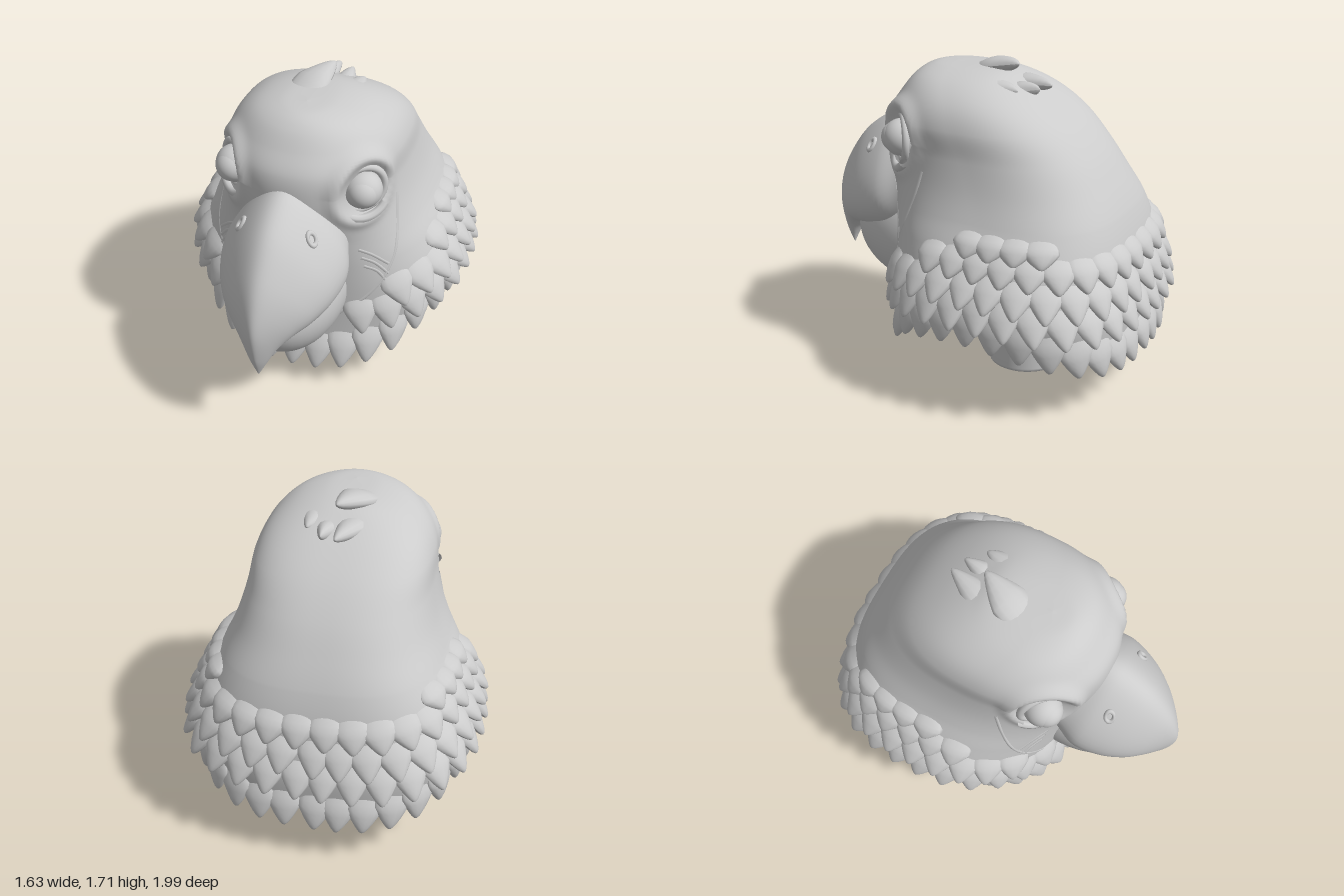
import * as THREE from 'three';
import { ParametricGeometry } from 'three/addons/geometries/ParametricGeometry.js';

const V = (x, y, z) => new THREE.Vector3(x, y, z);
const grey = new THREE.MeshStandardMaterial({ color: 0xcccccc, side: THREE.DoubleSide });
const gauss = (d, s) => Math.exp(-(d * d) / (s * s));

function add(parent, name, geo, pos) {
  const m = new THREE.Mesh(geo, grey);
  m.name = name;
  if (pos) m.position.copy(pos);
  parent.add(m);
  return m;
}

// Head rings, top to rim: height, front z, back z, half width, squareness, z of widest point
const RINGS = [
  [1.67, 0.2001, 0.1999, 0.0001, 2, 0.2],
  [1.66, 0.32, -0.06, 0.15, 2, 0.16],
  [1.615, 0.40, -0.2, 0.29, 2.1, 0.12],
  [1.53, 0.47, -0.36, 0.4, 2.15, 0.05],
  [1.42, 0.54, -0.51, 0.46, 2.15, 0],
  [1.28, 0.555, -0.64, 0.48, 2.15, -0.08],
  [1.13, 0.53, -0.74, 0.52, 2.2, -0.15],
  [1.0, 0.48, -0.81, 0.575, 2.3, -0.2],
  [0.87, 0.45, -0.86, 0.645, 2.3, -0.2],
  [0.73, 0.43, -0.89, 0.705, 2.3, -0.2],
  [0.6, 0.42, -0.91, 0.73, 2.3, -0.22],
  [0.45, 0.42, -0.9, 0.69, 2.3, -0.22],
];
const LAST = RINGS.length - 1;
const curveA = new THREE.CatmullRomCurve3(RINGS.map(r => V(r[0], r[1], r[2])), false, 'catmullrom', 0.5);
const curveB = new THREE.CatmullRomCurve3(RINGS.map(r => V(r[3], r[4], r[5])), false, 'catmullrom', 0.5);
const EYE = V(0.345, 1.31, 0.34);
const LOOK = V(0.66, 0.03, 0.75).normalize();

// Point on the head: angle a from the front towards +x, ring index k
function surf(a, k) {
  const t = THREE.MathUtils.clamp(k / LAST, 0, 1);
  const A = curveA.getPoint(t), B = curveB.getPoint(t);
  const n = B.y + (Math.cos(a) < 0 ? 0.6 : 0);   // squarer at the back
  const pow = c => Math.sign(c) * Math.abs(c) ** (2 / n);
  const c = pow(Math.cos(a));
  const z = B.z + c * (c > 0 ? A.y - B.z : B.z - A.z);
  const p = V(B.x * pow(Math.sin(a)), A.x, z);
  // the rim arches up at the sides
  if (p.y < 1) {
    const s = z + 0.2;
    const rim = s > 0 ? 0.46 - 0.17 * (s / 0.62) ** 2 : 0.46 - 0.11 * (s / 0.7) ** 2;
    p.y = 1 - (1 - p.y) / 0.55 * (1 - rim);
  }
  // eye sockets with a raised brow ring, strongest above
  const side = Math.sign(p.x) || 1;
  const d = Math.hypot(p.x * side - EYE.x, p.y - EYE.y, p.z - EYE.z);
  const brow = p.y > EYE.y ? 0.032 : 0.02;
  const push = -0.06 * gauss(d, 0.12) + brow * gauss(d - 0.18, 0.04);
  return p.add(V(LOOK.x * side, LOOK.y, LOOK.z).multiplyScalar(push));
}

function headGeometry() {
  const hub = V(0, 0.43, -0.23);
  return new ParametricGeometry((u, v, out) => {
    const a = -2 * Math.PI * u;
    if (v <= 0.8) return out.copy(surf(a, v / 0.8 * LAST));
    // underside from the rim to the neck
    const p = surf(a, LAST), f = (v - 0.8) / 0.2 * 0.98;
    const y = THREE.MathUtils.lerp(p.y, hub.y, f * f * (3 - 2 * f));
    return out.copy(p.lerp(hub, f).setY(y));
  }, 128, 120);
}

// Upper beak sections: top z, top y, bottom z, bottom y, half width
const BEAK = [
  [0.48, 1.36, 0.38, 0.81, 0.28],
  [0.61, 1.335, 0.49, 0.71, 0.312],
  [0.77, 1.23, 0.62, 0.67, 0.285],
  [0.89, 1.08, 0.74, 0.655, 0.225],
  [0.965, 0.93, 0.82, 0.64, 0.155],
  [1.0, 0.77, 0.87, 0.59, 0.088],
  [0.98, 0.6, 0.905, 0.53, 0.042],
  [0.935, 0.47, 0.93, 0.47, 0.004],
];
const beakTop = new THREE.CatmullRomCurve3(BEAK.map(b => V(0, b[1], b[0])), false, 'catmullrom', 0.5);
const beakLow = new THREE.CatmullRomCurve3(BEAK.map(b => V(b[4], b[3], b[2])), false, 'catmullrom', 0.5);
function beakPoint(a, v) {
  const top = beakTop.getPoint(v), low = beakLow.getPoint(v), w = low.x;
  const p = low.setX(0).lerp(top, 0.5 - 0.5 * Math.cos(a));
  return p.setX(w * Math.sin(a) * (1 + 0.42 * Math.cos(a)));
}

// Pointed scale, tip at -y, bulging towards +z, thin at its root
function scaleGeometry() {
  const g = new THREE.SphereGeometry(1, 14, 12), p = g.attributes.position;
  for (let i = 0; i < p.count; i++) {
    const y = p.getY(i), taper = y < 0 ? 1 + 0.55 * y : 1;
    p.setXYZ(i, p.getX(i) * taper, y, p.getZ(i) * (1 - 0.35 * Math.max(y, 0)) - 0.35 * Math.max(y, 0));
  }
  g.computeVertexNormals();
  return g;
}
const scaleGeo = scaleGeometry();

function feather(parent, name, pos, tipDir, normal, size) {
  const y = tipDir.clone().normalize().negate();
  const x = y.clone().cross(normal).normalize();
  const m = add(parent, name, scaleGeo, pos);
  m.quaternion.setFromRotationMatrix(new THREE.Matrix4().makeBasis(x, y, x.clone().cross(y)));
  m.scale.set(...size);
}

// Angles that split ring k into equal lengths
function evenAngles(k, count, offset) {
  const STEPS = 720, angle = i => i / STEPS * 2 * Math.PI;
  const sums = [0];
  for (let i = 1; i <= STEPS; i++) sums.push(sums[i - 1] + surf(angle(i), k).distanceTo(surf(angle(i - 1), k)));
  return Array.from({ length: count }, (_, i) =>
    angle(sums.findIndex(s => s >= (i + offset) / count * sums[STEPS])));
}

function ruff() {
  const g = new THREE.Group();
  g.name = 'ruffFeathers';
  // ring index, first and last z that carry feathers, half length, tilt away from the head
  const rows = [
    [10.3, 9, -9, 0.135, 0.36],
    [9.65, 0.4, -9, 0.14, 0.42],
    [8.85, 0.27, -9, 0.135, 0.4],
    [8.1, 0.1, -9, 0.11, 0.28],
    [7.5, -0.15, -0.65, 0.085, 0.18],
  ];
  rows.forEach(([k0, front, back, len, tilt], r) => {
    for (const a of evenAngles(k0, 32, (r % 2) / 2)) {
      // the lowest row hangs further down at the front and back
      const k = k0 + (r === 0 ? 0.6 * Math.abs(Math.cos(a)) : 0);
      const p = surf(a, k);
      if (p.z > front || p.z < back) continue;
      const down = p.clone().sub(surf(a, k - 0.1)).normalize();
      const n = down.clone().cross(surf(a + 0.02, k).sub(surf(a - 0.02, k))).normalize();
      const tip = down.clone().addScaledVector(n, tilt);
      const hang = r === 0 && p.z > 0.2 ? 0.02 : 0;
      const pos = p.clone().addScaledVector(n, 0.004).addScaledVector(down, 0.02 + hang);
      feather(g, 'ruffFeather', pos, tip, n, [0.092, len + hang, 0.036]);
    }
  });
  return g;
}

function tube(points, radius) {
  return new THREE.TubeGeometry(new THREE.CatmullRomCurve3(points), 40, radius, 8);
}

function faceSide(s) {
  const g = new THREE.Group();
  g.name = s > 0 ? 'leftFace' : 'rightFace';
  const eye = V(EYE.x * s, EYE.y, EYE.z), look = V(LOOK.x * s, LOOK.y, LOOK.z);
  add(g, 'eyeball', new THREE.SphereGeometry(0.1, 32, 24), eye);
  add(g, 'iris', new THREE.SphereGeometry(0.085, 28, 20), eye.clone().add(V(0.006 * s, 0, 0.024)));
  const lid = add(g, 'eyelid', new THREE.TorusGeometry(0.12, 0.02, 12, 48), eye.clone().addScaledVector(look, -0.005));
  lid.quaternion.setFromUnitVectors(V(0, 0, 1), look);
  // fold under the eye
  const fold = Array.from({ length: 9 }, (_, i) => {
    const q = (i / 8 - 0.5) * 1.7;
    return V(Math.sin(q) * 0.16, -Math.cos(q) * 0.16, 0).applyQuaternion(lid.quaternion).add(eye).addScaledVector(look, 0.025 - 0.025 * q * q);
  });
  add(g, 'eyeFold', tube(fold, 0.024));
  // cheek outline and wrinkles, mostly sunk into the skin
  const line = pts => pts.map(([a, k]) => surf(a * s, k).multiply(V(0.98, 1, 0.98)));
  add(g, 'cheekOutline', tube(line([[1.2, 5.6], [1.05, 6.7], [0.88, 7.8], [0.7, 8.6], [0.5, 9.3], [0.3, 9.9]]), 0.014));
  for (let i = 0; i < 3; i++) {
    const k = 7.3 + i * 0.35;
    add(g, 'cheekWrinkle', tube(line([[0.56, k], [0.66, k + 0.3], [0.78 - i * 0.03, k + 0.85]]), 0.014));
  }
  // nostril
  const p = beakPoint(2.2, 0.2);
  const nostril = add(g, 'nostril', new THREE.TorusGeometry(0.028, 0.012, 10, 24), V(p.x * s, p.y, p.z));
  nostril.lookAt(nostril.position.clone().add(V(0.75 * s, 0.55, 0.4)));
  nostril.scale.set(0.8, 1.2, 1);
  return g;
}

export function createModel() {
  const model = new THREE.Group();
  add(model, 'head', headGeometry());
  add(model, 'upperBeak', new ParametricGeometry((u, v, out) => out.copy(beakPoint(2 * Math.PI * u, v)), 48, 48));
  add(model, 'lowerBeak', new THREE.SphereGeometry(1, 40, 28), V(0, 0.675, 0.42)).scale.set(0.29, 0.34, 0.42);
  model.add(faceSide(1), faceSide(-1), ruff());

  // crest feathers: base, tip, half width
  const crest = new THREE.Group();
  crest.name = 'crest';
  [[V(-0.13, 1.57, 0.04), V(-0.01, 1.595, -0.36), 0.085],
   [V(-0.12, 1.62, 0.16), V(0.02, 1.695, -0.18), 0.1],
   [V(0.1, 1.59, 0.1), V(0.16, 1.59, -0.25), 0.09],
   [V(0.05, 1.55, -0.08), V(0.07, 1.59, -0.33), 0.06]].forEach(([b, t, w]) => {
    const d = t.clone().sub(b);
    feather(crest, 'crestFeather', b.clone().lerp(t, 0.5), d, V(0, 1, 0), [w, d.length() / 2, 0.045]);
  });
  model.add(crest);

  // hollow neck post, flared where it meets the head
  const post = [[0.001, 0.3], [0.1, 0.3], [0.1, 0.01], [0.11, 0], [0.19, 0], [0.208, 0.006], [0.215, 0.025],
    [0.218, 0.2], [0.224, 0.34], [0.24, 0.4], [0.3, 0.45]].map(([r, y]) => new THREE.Vector2(r, y));
  add(model, 'neckPost', new THREE.LatheGeometry(post, 48), V(-0.005, 0, -0.235));
  return model;
}
